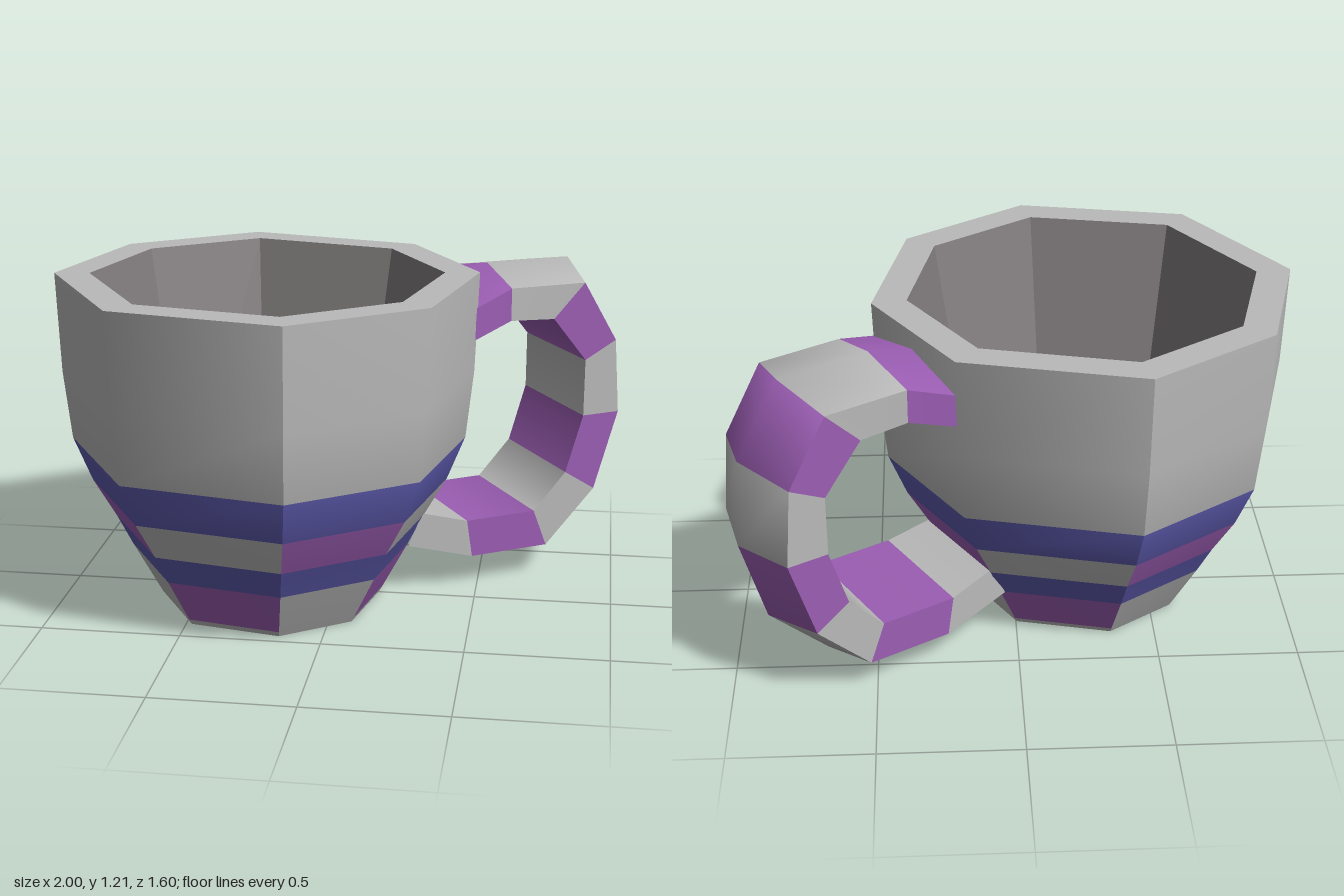
import * as THREE from 'three';

const mat = (name, color) => Object.assign(new THREE.MeshStandardMaterial({ color }), { name });

// Skin a list of closed rings, smooth along each column.
// pick(row, column) gives the material index of each quad;
// isSmooth(edge) tells which lengthwise edges blend their two columns.
function loft(name, rings, materials, pick = () => 0, isSmooth = () => false) {
  const n = rings[0].length, rows = rings.length - 1;
  const bins = materials.map(() => ({ pos: [], nor: [] }));
  const faces = rings[0].map((_, j) => {
    const k = (j + 1) % n;
    return rings.slice(1).map((next, i) => {
      const d1 = next[k].clone().sub(rings[i][j]);
      const d2 = next[j].clone().sub(rings[i][k]);
      return d1.cross(d2).normalize();
    });
  });
  const normalAt = (row, edge, col) => {
    const cols = isSmooth(edge) ? [edge, (edge + n - 1) % n] : [col];
    const sum = new THREE.Vector3();
    for (const c of cols) sum.add(faces[c][Math.max(row - 1, 0)]).add(faces[c][Math.min(row, rows - 1)]);
    return sum.normalize();
  };
  for (let j = 0; j < n; j++) {
    const k = (j + 1) % n;
    for (let i = 0; i < rows; i++) {
      const bin = bins[pick(i, j)];
      for (const [r, c] of [[i, j], [i, k], [i + 1, k], [i, j], [i + 1, k], [i + 1, j]]) {
        bin.pos.push(...rings[r][c].toArray());
        bin.nor.push(...normalAt(r, c, j).toArray());
      }
    }
  }
  const geo = new THREE.BufferGeometry();
  geo.setAttribute('position', new THREE.Float32BufferAttribute(bins.flatMap((b) => b.pos), 3));
  geo.setAttribute('normal', new THREE.Float32BufferAttribute(bins.flatMap((b) => b.nor), 3));
  let start = 0;
  bins.forEach((b, m) => {
    geo.addGroup(start, b.pos.length / 3, m);
    start += b.pos.length / 3;
  });
  const mesh = new THREE.Mesh(geo, materials);
  mesh.name = name;
  return mesh;
}

export function createModel() {
  const grey = mat('stone grey', 0xbababa);
  const purple = mat('purple', 0x9c5eb4);
  const blue = mat('blue', 0x5e5bae);
  const inner = mat('interior grey', 0x837e7f);

  const model = new THREE.Group();
  model.name = 'mug';
  const cx = -0.25, cz = 0.058;

  // Slightly uneven octagon of the rim, as offsets from the cup axis
  const octagon = [
    [0.18, 0.742], [0.62, 0.432], [0.74, -0.128], [0.46, -0.588],
    [-0.17, -0.738], [-0.61, -0.438], [-0.75, 0.092], [-0.43, 0.622],
  ];
  const ring = ([y, s]) => octagon.map(([x, z]) => new THREE.Vector3(cx + x * s, y, cz + z * s));
  const rings = (profile) => profile.map(ring);

  // Outer wall: blue bands, with purple patches on alternate faces;
  // every second vertical edge is soft
  const outer = [[0, 0.535], [0.02, 0.55], [0.19, 0.675], [0.3, 0.75], [0.44, 0.86],
    [0.6, 0.947], [0.85, 0.983], [1.21, 1]];
  const wallColour = (row, col) => {
    if (row === 2 || row === 4) return 2;
    if (row === 3) return col % 2 === 0 ? 1 : 0;
    if (row === 1) return col % 2 === 1 ? 1 : 0;
    return 0;
  };
  model.add(loft('cupWall', rings(outer), [grey, purple, blue], wallColour, (edge) => edge % 2 === 1));
  model.add(loft('cupBase', rings([[0, 0], [0, 0.535]]), [grey]));
  model.add(loft('cupRim', rings([[1.21, 1], [1.21, 0.835]]), [grey]));

  // Inside of the cup, a plain taper down to the floor
  model.add(loft('cupInterior', rings([[1.21, 0.835], [0.2, 0.6]]), [inner]));
  model.add(loft('cupFloor', rings([[0.2, 0.6], [0.2, 0]]), [inner]));

  // Handle stations: half width, then distance from the cup axis and height
  // of the outer edge, the outer ridge and the inner edge
  const stations = [
    [0.27, 0.69, 1.08, 0.69, 1.14, 0.69, 0.965],
    [0.226, 0.856, 1.13, 0.87, 1.18, 0.856, 1.01],
    [0.226, 1.159, 1.125, 1.21, 1.175, 1.034, 1.0],
    [0.226, 1.3, 0.895, 1.37, 0.92, 1.173, 0.83],
    [0.226, 1.323, 0.615, 1.39, 0.605, 1.173, 0.615],
    [0.226, 1.23, 0.32, 1.3, 0.293, 1.105, 0.4],
    [0.226, 1.031, 0.12, 1.075, 0.07, 0.975, 0.263],
    [0.226, 0.718, 0.12, 0.725, 0.085, 0.695, 0.263],
    [0.205, 0.465, 0.19, 0.44, 0.15, 0.52, 0.31],
  ];
  const point = (u, y, w) =>
    new THREE.Vector3(cx + 0.857 * u + 0.514 * w, y, cz + 0.011 - 0.514 * u + 0.857 * w);
  const sections = stations.map(([w, ou, oy, ru, ry, iu, iy]) => [
    point(ou, oy, -w), point(ru, ry, 0), point(ou, oy, w), point(iu, iy, w), point(iu, iy, -w),
  ]);
  const bandColour = (row) => (row % 2 === 0 ? 1 : 0);
  model.add(loft('handle', sections, [grey, purple], bandColour, (edge) => edge === 1));

  return model;
}
